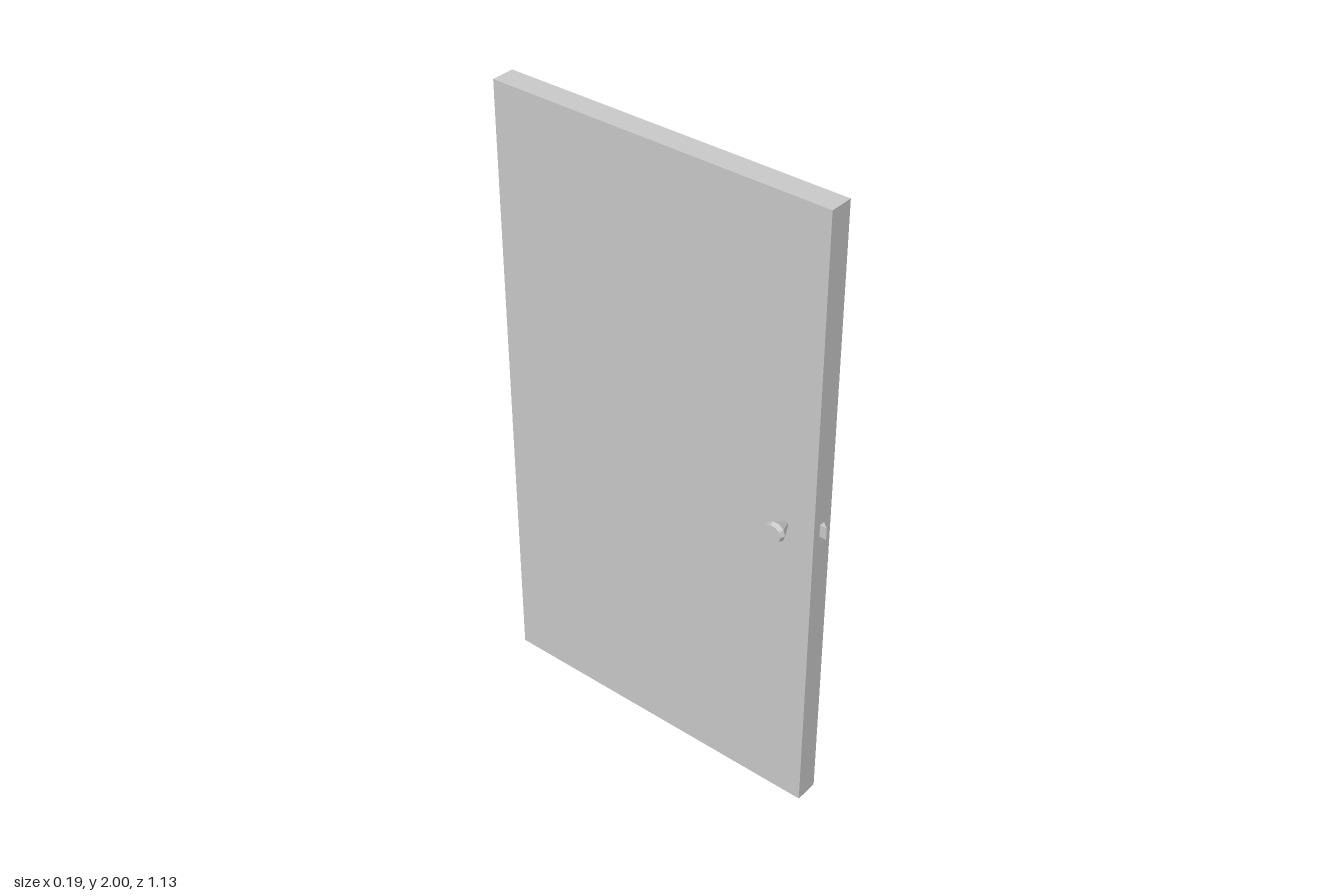
import * as THREE from 'three';

export function createModel() {
  const group = new THREE.Group();
  const material = new THREE.MeshStandardMaterial({ color: 0xcccccc, flatShading: true });
  const add = (name, geometry, x, y, z) => {
    const mesh = new THREE.Mesh(geometry, material);
    mesh.name = name;
    mesh.position.set(x, y, z);
    group.add(mesh);
    return mesh;
  };

  // Door slab, its latch edge facing the front
  const back = -0.565, front = 0.543, halfThickness = 0.0375;
  add('doorPanel', new THREE.BoxGeometry(halfThickness * 2, 2, front - back), 0, 1, (front + back) / 2);

  // Flared knob on each face, turned about the x axis
  const profile = [[0, 0], [0.01, 0], [0.032, 0.044], [0.027, 0.058], [0, 0.058]]
    .map(([r, h]) => new THREE.Vector2(r, h));
  const knob = new THREE.LatheGeometry(profile, 10).rotateZ(-Math.PI / 2);
  add('leftKnob', knob, halfThickness, 1, 0.448);
  add('rightKnob', knob, -halfThickness, 1, 0.448).rotation.y = Math.PI;

  // Wedge-shaped latch bolt, slanted on its left side
  const wedge = new THREE.Shape([
    new THREE.Vector2(-0.011, 0),
    new THREE.Vector2(-0.011, -0.022),
    new THREE.Vector2(0.007, 0),
  ]);
  const bolt = new THREE.ExtrudeGeometry(wedge, { depth: 0.04, bevelEnabled: false }).rotateX(-Math.PI / 2);
  add('latchBolt', bolt, 0, 0.987, front);

  return group;
}
